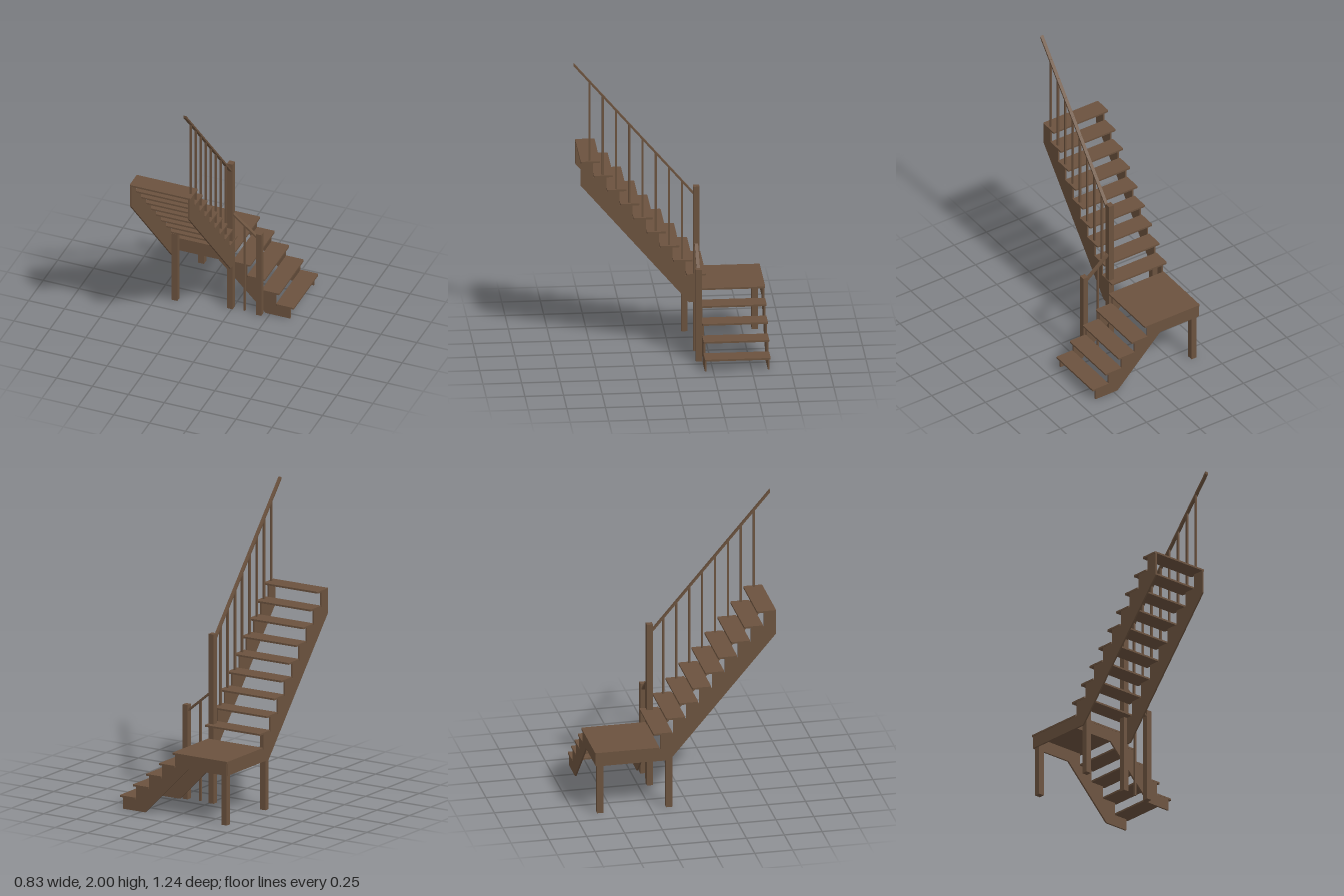
import * as THREE from 'three';

const wood = new THREE.MeshStandardMaterial({ color: 0x6b523e });
wood.name = 'brown wood';

export function createModel() {
  const model = new THREE.Group();
  model.name = 'staircase';

  function add(geometry, name) {
    const mesh = new THREE.Mesh(geometry, wood);
    mesh.name = name;
    model.add(mesh);
    return mesh;
  }

  // Box given by its limits on each axis
  function box(name, x0, x1, y0, y1, z0, z1) {
    const mesh = add(new THREE.BoxGeometry(x1 - x0, y1 - y0, z1 - z0), name);
    mesh.position.set((x0 + x1) / 2, (y0 + y1) / 2, (z0 + z1) / 2);
    return mesh;
  }

  // Flat board with slightly rounded corners; top is its upper surface
  function board(name, x0, x1, z0, z1, top) {
    const r = 0.007, t = 0.012;
    const s = new THREE.Shape();
    s.moveTo(x0 + r, -z1);
    s.lineTo(x1 - r, -z1);
    s.quadraticCurveTo(x1, -z1, x1, -z1 + r);
    s.lineTo(x1, -z0 - r);
    s.quadraticCurveTo(x1, -z0, x1 - r, -z0);
    s.lineTo(x0 + r, -z0);
    s.quadraticCurveTo(x0, -z0, x0, -z0 - r);
    s.lineTo(x0, -z1 + r);
    s.quadraticCurveTo(x0, -z1, x0 + r, -z1);
    const g = new THREE.ExtrudeGeometry(s, { depth: t, bevelEnabled: false, curveSegments: 3 });
    g.rotateX(-Math.PI / 2);
    add(g, name).position.y = top - t;
  }

  // Sawtooth side board cut from a profile
  function stringer(points, thickness) {
    const s = new THREE.Shape(points.map(([u, y]) => new THREE.Vector2(u, y)));
    return new THREE.ExtrudeGeometry(s, { depth: thickness, bevelEnabled: false });
  }

  const t = 0.011;

  // Landing
  board('landing', -0.415, 0.01, -0.62, -0.195, 0.43);

  // Lower flight: four treads descending towards +x
  const lowerRun = 0.1, lowerRise = 0.0855;
  const lower = [[-0.405, 0.335], [-0.405, 0.418], [-0.01, 0.418]];
  for (let i = 0; i < 4; i++) {
    const top = 0.345 - lowerRise * i;
    const nose = 0.112 + 0.101 * i;
    board('lowerTread', nose - 0.124, nose, -0.62, -0.195, top);
    lower.push([-0.01 + lowerRun * i, top - 0.012], [-0.01 + lowerRun * (i + 1), top - 0.012]);
  }
  lower.push([0.39, 0], [0.22, 0], [-0.11, 0.335]);
  for (const z of [-0.207, -0.615]) {
    add(stringer(lower, t), 'lowerStringer').position.z = z;
  }

  // Upper flight: nine treads climbing towards +z
  const run = 0.0856, rise = 0.0995, steps = 9;
  const teeth = [];
  for (let i = 0; i < steps; i++) {
    const top = 0.53 + rise * i;
    const nose = -0.235 + run * i;
    board('upperTread', -0.415, 0.01, nose, nose + 0.125, top);
    const y = top - 0.012, z = -0.19 + run * i;
    teeth.push([z, y], [i === steps - 1 ? 0.575 : z + run, y]);
  }
  const underside = [[0.575, 1.16], [-0.127, 0.335]];
  const outer = [[-0.61, 0.335], [-0.61, 0.418], [-0.19, 0.418], ...teeth, ...underside];
  const inner = [[-0.19, 0.335], ...teeth, ...underside];
  [[outer, -0.401], [inner, 0.004]].forEach(([profile, x]) => {
    const g = stringer(profile, t);
    g.rotateY(-Math.PI / 2);
    add(g, 'upperStringer').position.x = x;
  });

  // Legs and newel posts
  box('backLeg', -0.4, -0.36, 0, 0.418, -0.604, -0.564);
  box('frontLeg', -0.4, -0.36, 0, 0.518, -0.148, -0.108);
  box('tallNewel', -0.032, 0.007, 0, 1.13, -0.194, -0.154);
  box('shortNewel', 0.168, 0.206, 0, 0.63, -0.194, -0.154);

  // Upper handrail and balusters
  const railY = (z) => 1.083 + 1.176 * (z + 0.155);
  const handrail = new THREE.Shape([[-0.155, -0.01], [0.62, -0.01], [0.62, 0.008], [-0.155, 0.008]]
    .map(([z, d]) => new THREE.Vector2(z, railY(z) + d - (z > 0 ? 0.003 : 0))));
  const railGeometry = new THREE.ExtrudeGeometry(handrail, { depth: 0.022, bevelEnabled: false });
  railGeometry.rotateY(-Math.PI / 2);
  add(railGeometry, 'upperHandrail');
  for (let i = 0; i < 8; i++) {
    const z = -0.083 + run * i;
    box('upperBaluster', -0.018, -0.005, 0.63 + rise * i, railY(z), z - 0.0065, z + 0.0065);
  }

  // Lower handrail and baluster
  const lowRail = new THREE.Shape([[0.005, 0.725], [0.17, 0.587], [0.17, 0.603], [0.005, 0.741]]
    .map(([x, y]) => new THREE.Vector2(x, y)));
  add(new THREE.ExtrudeGeometry(lowRail, { depth: 0.022, bevelEnabled: false }), 'lowerHandrail')
    .position.z = -0.185;
  box('lowerBaluster', 0.075, 0.088, 0, 0.668, -0.181, -0.168);

  return model;
}
